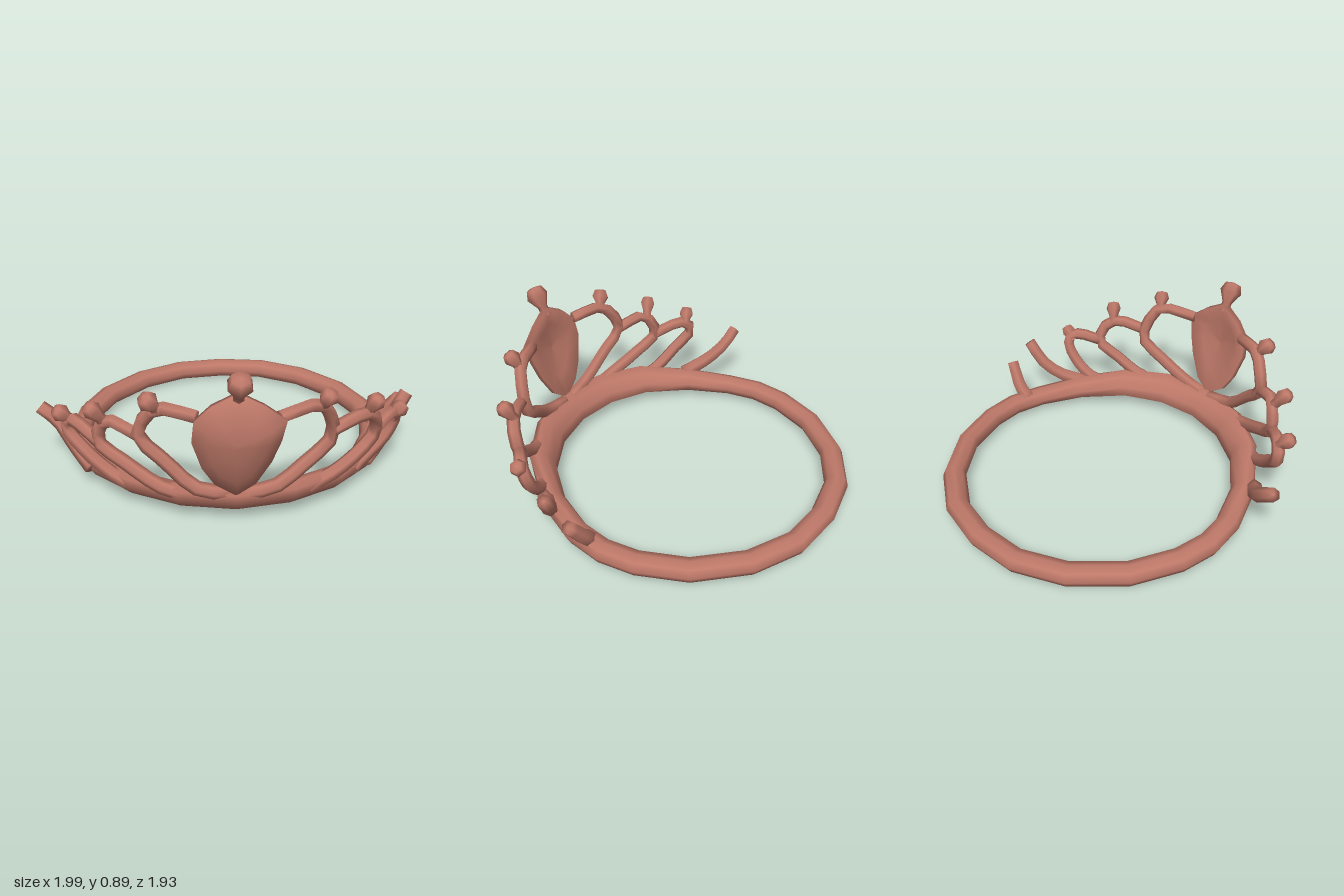
import * as THREE from 'three';

const V = (p) => new THREE.Vector3(...p);

// Skin a surface over a list of equal-length closed cross-sections
function loft(rings, closed) {
  const n = rings[0].length, m = rings.length, index = [];
  for (let i = 0; i < (closed ? m : m - 1); i++) {
    for (let j = 0; j < n; j++) {
      const k = (i + 1) % m, l = (j + 1) % n;
      const a = i * n + j, b = k * n + j, c = k * n + l, d = i * n + l;
      index.push(a, b, c, a, c, d);
    }
  }
  const g = new THREE.BufferGeometry();
  g.setAttribute('position', new THREE.Float32BufferAttribute(rings.flat(2), 3));
  g.setIndex(index);
  g.computeVertexNormals();
  return g;
}

// Head band: flattened circle, taller and leaning outward at the front
function bandGeometry() {
  const half = [[0.26, 0.67], [0.49, 0.54], [0.68, 0.32], [0.79, 0.08], [0.822, -0.1],
    [0.8, -0.28], [0.7, -0.52], [0.5, -0.74], [0.26, -0.87]];
  const loop = [[0, 0.715], ...half, [0, -0.905], ...half.slice().reverse().map(([x, z]) => [-x, z])];
  const curve = new THREE.CatmullRomCurve3(loop.map(([x, z]) => V([x + 0.015, 0, z])), true);
  const rings = [];
  for (let i = 0; i < 20; i++) {
    const p = curve.getPoint(i / 20), t = curve.getTangent(i / 20);
    const front = THREE.MathUtils.smoothstep(p.z, 0.1, 0.72);
    const y = 0.083 + 0.025 * Math.min(p.z, 0) + 0.06 * front;
    const h = 0.056 + 0.026 * front, lean = 0.045 * front;
    const ring = [];
    for (let j = 0; j < 8; j++) {
      const a = (j / 8) * Math.PI * 2;
      const o = 0.064 * Math.cos(a) + lean * Math.sin(a);
      ring.push([p.x - t.z * o, y + h * Math.sin(a), p.z + t.x * o]);
    }
    rings.push(ring);
  }
  return loft(rings, true);
}

// Domed shield with a slightly dished back
function medallionGeometry() {
  const outline = [[0.01, 0.2], [0.1, 0.27], [0.17, 0.4], [0.21, 0.52], [0.23, 0.63], [0.13, 0.71],
    [0.01, 0.78], [-0.11, 0.71], [-0.185, 0.63], [-0.195, 0.52], [-0.15, 0.37], [-0.09, 0.27]];
  const layers = [[0, 0.085], [0.35, 0.08], [0.7, 0.055], [1, 0.012], [0.98, -0.022], [0.6, 0], [0, 0.015]];
  return loft(layers.map(([s, dz]) => outline.map(([x, y]) => {
    const py = 0.53 + (y - 0.53) * s;
    return [0.01 + (x - 0.01) * s, py, 0.77 + (py - 0.2) * 0.15 + dz];
  })), false);
}

// Six-sided rod along a curve, tapering from r0 to r1, closed at both ends
function rodGeometry(points, r0, r1) {
  const curve = new THREE.CatmullRomCurve3(points.map(V), false, 'centripetal');
  const steps = (points.length - 1) * 2, rings = [];
  const { normals, binormals } = curve.computeFrenetFrames(steps, false);
  const section = (i, r) => Array.from({ length: 6 }, (_, j) => {
    const a = (j / 6) * Math.PI * 2;
    return curve.getPointAt(i / steps).addScaledVector(normals[i], r * Math.cos(a))
      .addScaledVector(binormals[i], -r * Math.sin(a)).toArray();
  });
  for (let i = 0; i <= steps; i++) rings.push(section(i, r0 + (r1 - r0) * (i / steps)));
  return loft([section(0, 0), ...rings, section(steps, 0)], false);
}

export function createModel() {
  const group = new THREE.Group();
  const metal = new THREE.MeshStandardMaterial({ color: 0xbd7868 });
  metal.name = 'rose metal';

  const add = (name, geometry) => {
    const mesh = new THREE.Mesh(geometry, metal);
    mesh.name = name;
    group.add(mesh);
    return mesh;
  };

  // Faceted bud flaring from a narrow neck, pointing from one point to another
  const bud = (name, from, to, r) => {
    const axis = V(to).sub(V(from)), len = axis.length();
    const profile = [[0.028, 0], [0.028, len * 0.45], [r, len], [r * 0.72, len + r * 0.75], [0, len + r * 0.9]];
    const mesh = add(name, new THREE.LatheGeometry(profile.map(([x, y]) => new THREE.Vector2(x, y)), 6));
    mesh.position.set(...from);
    mesh.quaternion.setFromUnitVectors(new THREE.Vector3(0, 1, 0), axis.normalize());
  };

  add('headBand', bandGeometry());
  add('medallion', medallionGeometry());

  // Scrolling arches, each rising from the band and hooking onto its inner neighbour
  const arches = {
    rightInnerArch: [[-0.02, 0.195, 0.745], [-0.17, 0.225, 0.75], [-0.32, 0.36, 0.715], [-0.44, 0.48, 0.68],
      [-0.4, 0.59, 0.7], [-0.34, 0.65, 0.74], [-0.17, 0.64, 0.81]],
    rightMiddleArch: [[-0.2, 0.165, 0.71], [-0.33, 0.195, 0.69], [-0.51, 0.29, 0.61], [-0.64, 0.38, 0.55],
      [-0.62, 0.47, 0.56], [-0.58, 0.52, 0.6], [-0.44, 0.48, 0.68]],
    rightOuterArch: [[-0.48, 0.13, 0.57], [-0.59, 0.17, 0.51], [-0.72, 0.27, 0.45], [-0.81, 0.37, 0.39],
      [-0.79, 0.43, 0.41], [-0.74, 0.43, 0.46], [-0.64, 0.38, 0.55]],
    leftInnerArch: [[0.05, 0.195, 0.745], [0.19, 0.22, 0.745], [0.33, 0.31, 0.7], [0.47, 0.43, 0.65],
      [0.46, 0.53, 0.67], [0.4, 0.64, 0.72], [0.2, 0.63, 0.81]],
    leftMiddleArch: [[0.36, 0.16, 0.66], [0.48, 0.19, 0.61], [0.61, 0.27, 0.56], [0.71, 0.36, 0.5],
      [0.7, 0.46, 0.53], [0.64, 0.51, 0.58], [0.47, 0.48, 0.67]],
    leftOuterArch: [[0.62, 0.12, 0.45], [0.71, 0.17, 0.39], [0.8, 0.26, 0.36], [0.84, 0.34, 0.35],
      [0.84, 0.4, 0.37], [0.8, 0.41, 0.41], [0.71, 0.37, 0.5]],
  };
  for (const [name, points] of Object.entries(arches)) add(name, rodGeometry(points, 0.037, 0.033));

  // Buds on the medallion and at the crest of each arch
  const buds = [
    ['centreBud', [0.01, 0.73, 0.85], [0.015, 0.835, 0.9], 0.062],
    ['rightInnerBud', [-0.34, 0.64, 0.74], [-0.38, 0.695, 0.763], 0.05],
    ['rightMiddleBud', [-0.6, 0.5, 0.58], [-0.65, 0.575, 0.605], 0.046],
    ['rightOuterBud', [-0.78, 0.42, 0.41], [-0.825, 0.47, 0.43], 0.046],
    ['leftInnerBud', [0.4, 0.63, 0.72], [0.423, 0.69, 0.75], 0.046],
    ['leftMiddleBud', [0.65, 0.5, 0.56], [0.68, 0.575, 0.588], 0.046],
    ['leftOuterBud', [0.82, 0.37, 0.375], [0.86, 0.415, 0.37], 0.046],
  ];
  for (const args of buds) bud(...args);

  // Free curved prongs at the sides, with blunt tips
  const prongs = {
    rightProng: [[-0.7, 0.12, 0.37], [-0.8, 0.2, 0.26], [-0.88, 0.29, 0.185], [-0.975, 0.365, 0.16]],
    leftFrontProng: [[0.7, 0.12, 0.37], [0.8, 0.17, 0.26], [0.88, 0.26, 0.175], [0.96, 0.385, 0.135]],
    leftRearProng: [[0.81, 0.09, 0.0], [0.87, 0.16, -0.02], [0.92, 0.23, -0.012], [0.965, 0.29, 0.0]],
  };
  for (const [name, points] of Object.entries(prongs)) add(name, rodGeometry(points, 0.045, 0.036));

  return group;
}
